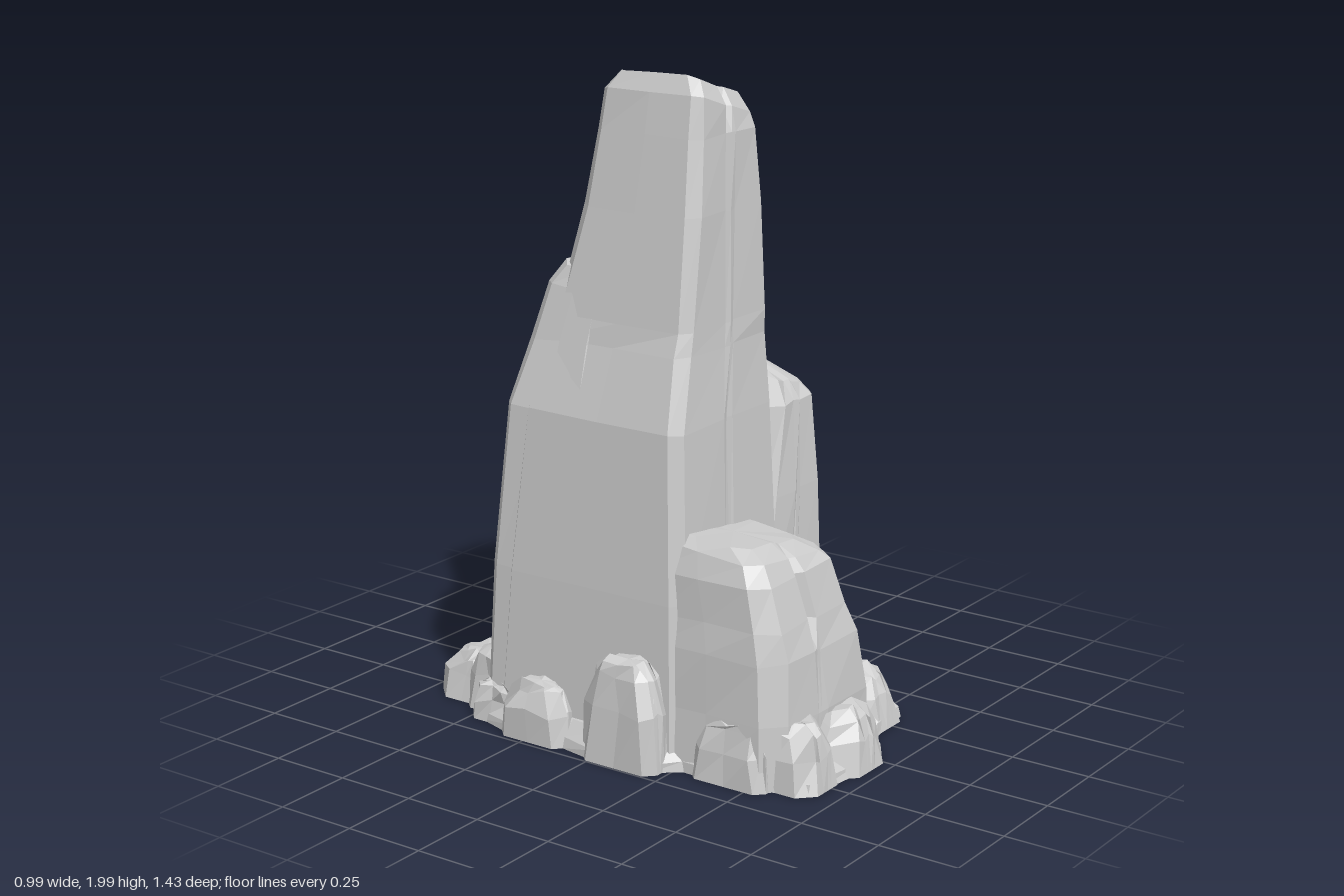
import * as THREE from 'three';

const material = new THREE.MeshStandardMaterial({ color: 0xcccccc, flatShading: true });
const FLOOR = 0.01;

// Repeatable roughness taken from a position, in -1..1
function rough(x, y, z) {
  const s = Math.sin(x * 127.1 + y * 311.7 + z * 74.7) * 43758.5453;
  return (s - Math.floor(s)) * 2 - 1;
}

// Bevelled rectangle at height y; sx, sz tilt it, gx and gd cut a groove into its front
function ring(y, x0, x1, z0, z1, { sx = 0, sz = 0, gx = (x0 + x1) / 2, gd = 0, c = 0.035 } = {}) {
  const outline = [
    [x0 + c, z1], [gx - 0.02, z1], [gx, z1 - gd], [gx + 0.02, z1], [x1 - c, z1],
    [x1, z1 - c], [x1, (z0 + z1) / 2], [x1, z0 + c],
    [x1 - c, z0], [(x0 + x1) / 2, z0], [x0 + c, z0],
    [x0, z0 + c], [x0, (z0 + z1) / 2], [x0, z1 - c],
  ];
  const mx = (x0 + x1) / 2, mz = (z0 + z1) / 2;
  return outline.map(([x, z]) => new THREE.Vector3(x, y + (x - mx) * sx + (z - mz) * sz, z));
}

// Skin a stack of rings and cap both ends
function loft(name, rings, noise = 0.006) {
  const n = rings[0].length, pos = [], index = [];
  rings.forEach((points, k) => points.forEach((p) => {
    const a = k === 0 ? 0 : noise;
    pos.push(p.x + a * rough(p.x, p.y, p.z), p.y + a * rough(p.z, p.x, p.y), p.z + a * rough(p.y, p.z, p.x));
  }));
  for (let k = 0; k < rings.length - 1; k++) {
    for (let i = 0; i < n; i++) {
      const a = k * n + i, b = k * n + (i + 1) % n;
      index.push(a, b, b + n, a, b + n, a + n);
    }
  }
  for (const k of [0, rings.length - 1]) {
    const mid = rings[k].reduce((s, p) => s.add(p), new THREE.Vector3()).divideScalar(n);
    const m = pos.length / 3;
    pos.push(mid.x, mid.y, mid.z);
    for (let i = 0; i < n; i++) {
      const a = k * n + i, b = k * n + (i + 1) % n;
      if (k) index.push(m, a, b); else index.push(m, b, a);
    }
  }
  let geometry = new THREE.BufferGeometry();
  geometry.setAttribute('position', new THREE.Float32BufferAttribute(pos, 3));
  geometry.setIndex(index);
  geometry = geometry.toNonIndexed();
  geometry.computeVertexNormals();
  const mesh = new THREE.Mesh(geometry, material);
  mesh.name = name;
  return mesh;
}

// Small stone at the foot: bounds in x and z, and height
function boulder(x0, x1, z0, z1, h) {
  const w = x1 - x0, d = z1 - z0, s = Math.min(w, d);
  const level = (t, inset, bevel) => ring(FLOOR + (h - FLOOR) * t, x0 + w * inset, x1 - w * inset,
    z0 + d * inset, z1 - d * inset, { c: s * bevel });
  return loft('boulder', [level(0, 0, 0.24), level(0.55, 0.05, 0.25), level(0.86, 0.13, 0.24), level(1, 0.27, 0.14)], 0.012);
}

export function createModel() {
  const group = new THREE.Group();
  group.name = 'rockSpire';

  // Tall spire with a nicked, slanting top
  group.add(loft('spire', [
    ring(FLOOR, -0.41, 0.15, -0.42, 0.27),
    ring(0.5, -0.39, 0.15, -0.39, 0.25),
    ring(1.0, -0.36, 0.145, -0.34, 0.225),
    ring(1.21, -0.3, 0.14, -0.3, 0.213),
    ring(1.28, -0.285, 0.14, -0.28, 0.21),
    ring(1.6, -0.24, 0.13, -0.21, 0.2),
    ring(1.82, -0.205, 0.11, -0.18, 0.19, { gx: -0.04 }),
    ring(1.9, -0.19, 0.1, -0.165, 0.182, { sx: -0.3, gx: -0.04, gd: 0.03, c: 0.03 }),
    ring(1.95, -0.165, 0.08, -0.13, 0.15, { sx: -0.35, gx: -0.04, gd: 0.04, c: 0.03 }),
  ], 0.004));

  // Pillar at the back corner, stepping up toward the spire
  group.add(loft('backPillar', [
    ring(FLOOR, -0.405, -0.09, -0.47, -0.1),
    ring(0.5, -0.39, -0.08, -0.445, -0.1),
    ring(1.0, -0.36, -0.07, -0.4, -0.1),
    ring(1.2, -0.31, -0.06, -0.36, -0.1),
    ring(1.36, -0.27, -0.04, -0.32, -0.08),
    ring(1.42, -0.25, -0.03, -0.27, -0.06),
  ]));
  group.add(loft('upperBackPillar', [
    ring(1.2, -0.24, 0.0, -0.3, 0),
    ring(1.55, -0.2, 0.0, -0.245, 0),
    ring(1.8, -0.17, 0.02, -0.2, 0),
    ring(1.92, -0.14, 0.03, -0.16, 0),
  ]));

  // Side shoulder, parted from the spire by a widening crack
  group.add(loft('shoulder', [
    ring(FLOOR, 0.0, 0.41, -0.4, 0.265),
    ring(0.35, 0.02, 0.4, -0.4, 0.255),
    ring(0.7, 0.1, 0.385, -0.38, 0.245),
    ring(1.0, 0.15, 0.375, -0.36, 0.23, { sz: -0.1 }),
    ring(1.08, 0.16, 0.35, -0.33, 0.2, { sx: -0.3, sz: -0.2 }),
    ring(1.14, 0.16, 0.28, -0.3, 0.1, { sx: -0.3, sz: -0.25 }),
  ]));

  // Back slab, beside a narrow upright cleft
  group.add(loft('backSlab', [
    ring(FLOOR, -0.05, 0.41, -0.475, 0),
    ring(0.5, -0.04, 0.395, -0.445, 0),
    ring(0.9, -0.03, 0.38, -0.4, 0),
    ring(1.05, -0.02, 0.37, -0.375, 0),
    ring(1.16, 0.0, 0.3, -0.35, -0.02),
    ring(1.24, 0.02, 0.26, -0.33, -0.05),
  ]));

  // Secondary peak behind the shoulder
  group.add(loft('sidePeak', [
    ring(0.95, -0.02, 0.33, -0.37, 0.04),
    ring(1.2, -0.01, 0.275, -0.345, -0.06),
    ring(1.32, 0.0, 0.255, -0.325, -0.12),
    ring(1.5, 0.02, 0.21, -0.265, -0.125),
    ring(1.6, 0.03, 0.165, -0.245, -0.13, { sx: -0.25, c: 0.025 }),
    ring(1.625, 0.04, 0.145, -0.22, -0.145, { sx: -0.2, c: 0.02 }),
  ], 0.004));

  // Lower front block with a split in its face
  const gx = -0.165;
  group.add(loft('frontBlock', [
    ring(FLOOR, -0.4, 0.15, 0.1, 0.6, { gx, c: 0.06 }),
    ring(0.2, -0.39, 0.14, 0.1, 0.6, { gx, c: 0.06 }),
    ring(0.38, -0.38, 0.1, 0.1, 0.58, { gx, c: 0.06 }),
    ring(0.47, -0.375, 0.08, 0.1, 0.56, { gx, gd: 0.035, c: 0.06 }),
    ring(0.6, -0.365, 0.05, 0.1, 0.52, { gx, gd: 0.02, c: 0.05 }),
    ring(0.655, -0.35, 0.03, 0.1, 0.49, { gx, gd: 0.015, sx: -0.1, sz: -0.08, c: 0.05 }),
    ring(0.685, -0.32, -0.01, 0.1, 0.43, { gx, sx: -0.12, sz: -0.08, c: 0.05 }),
  ]));

  // Sheared-off edge stones against the front corner
  group.add(loft('frontCornerRib', [
    ring(FLOOR, 0.08, 0.2, 0.15, 0.46),
    ring(0.12, 0.08, 0.19, 0.15, 0.42),
    ring(0.24, 0.09, 0.17, 0.15, 0.3),
    ring(0.32, 0.1, 0.15, 0.15, 0.26, { c: 0.015 }),
  ]));

  // Boulders around the foot
  const stones = [
    [-0.37, -0.17, 0.46, 0.69, 0.2], [-0.2, 0.05, 0.46, 0.715, 0.19], [-0.02, 0.12, 0.42, 0.64, 0.13],
    [0.13, 0.345, 0.16, 0.59, 0.19], [0.3, 0.49, 0.12, 0.32, 0.17], [-0.42, -0.3, 0.3, 0.56, 0.2],
    [0.34, 0.495, -0.27, -0.06, 0.27], [0.33, 0.47, -0.46, -0.27, 0.18], [0.35, 0.43, -0.06, 0.14, 0.07],
    [-0.345, -0.1, -0.72, -0.48, 0.15], [-0.37, -0.22, -0.58, -0.4, 0.2], [-0.25, -0.08, -0.57, -0.4, 0.27],
    [-0.11, 0.04, -0.56, -0.4, 0.15], [0.02, 0.18, -0.54, -0.4, 0.22], [0.15, 0.32, -0.53, -0.38, 0.17],
    [-0.495, -0.36, -0.04, 0.23, 0.33], [-0.485, -0.36, -0.35, -0.11, 0.19], [-0.43, -0.34, -0.5, -0.34, 0.13],
  ];
  const foot = new THREE.Group();
  foot.name = 'footBoulders';
  stones.forEach((s) => foot.add(boulder(...s)));
  group.add(foot);

  // Thin irregular base joining the stones
  const rim = [
    [-0.34, 0.67], [-0.1, 0.7], [0.04, 0.68], [0.12, 0.6], [0.33, 0.57], [0.35, 0.36], [0.47, 0.29], [0.48, 0.14],
    [0.41, 0.1], [0.41, -0.04], [0.48, -0.1], [0.48, -0.28], [0.45, -0.43], [0.3, -0.5], [0.14, -0.53], [-0.02, -0.53],
    [-0.1, -0.6], [-0.12, -0.7], [-0.29, -0.7], [-0.35, -0.55], [-0.42, -0.46], [-0.47, -0.3], [-0.46, -0.12],
    [-0.485, 0.02], [-0.46, 0.2], [-0.4, 0.28], [-0.41, 0.45],
  ];
  const rimRing = (y, s) => rim.map(([x, z]) => new THREE.Vector3(x * s, y, z * s));
  group.add(loft('base', [rimRing(FLOOR, 1), rimRing(0.04, 0.99), rimRing(0.09, 0.9)]));

  return group;
}
